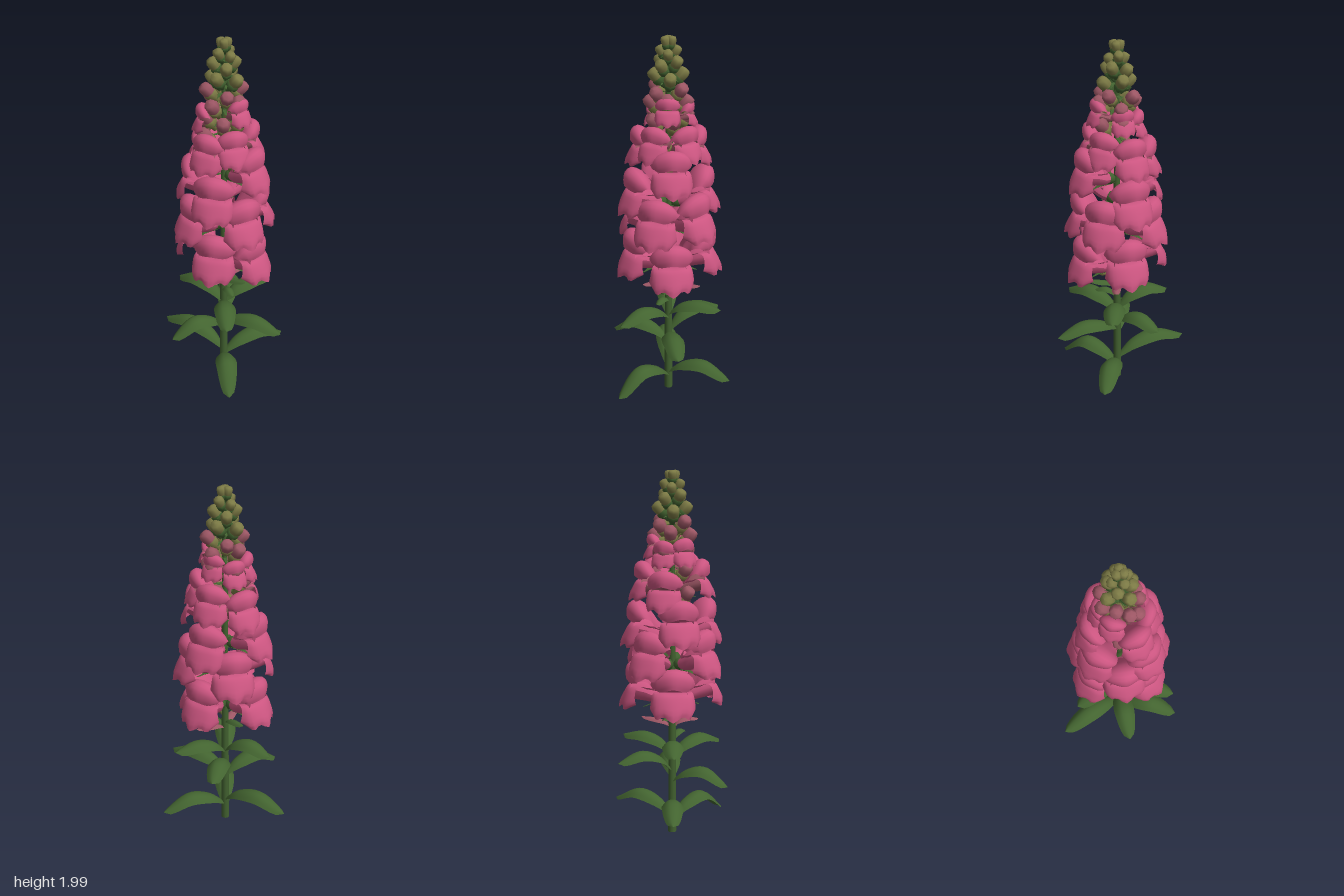
import * as THREE from 'three';
import { ParametricGeometry } from 'three/addons/geometries/ParametricGeometry.js';

const CX = 0.02, CZ = 0.005; // stem axis

const mat = (name, color, side = THREE.FrontSide) => {
  const m = new THREE.MeshStandardMaterial({ color, side });
  m.name = name;
  return m;
};
const add = (parent, name, geo, material) => {
  const m = new THREE.Mesh(geo, material);
  m.name = name;
  parent.add(m);
  return m;
};
const curve = (pts) => new THREE.CatmullRomCurve3(pts.map((p) => new THREE.Vector3(...p)));
const sheet = (fn, nu, nv) => {
  const g = new ParametricGeometry(fn, nu, nv);
  g.computeVertexNormals();
  return g;
};

// Arched blunt leaf with drooping edges, from the stem to a tip
function leafGeometry([tx, ty, tz, peak, base], halfWidth) {
  const dx = tx - CX, dz = tz - CZ, len = Math.hypot(dx, dz);
  const c = curve([[CX, base, CZ], [CX + dx * 0.25, base + (peak - base) * 0.72, CZ + dz * 0.25],
    [CX + dx * 0.58, peak, CZ + dz * 0.58], [tx, ty, tz]]);
  return sheet((u, v, out) => {
    const s = u * 2 - 1;
    const grow = 0.2 + 0.8 * Math.sin((Math.PI / 2) * Math.min(v / 0.6, 1));
    const taper = Math.sqrt(1 - Math.pow(Math.max(0, (v - 0.55) / 0.45), 2));
    const w = halfWidth * grow * Math.max(taper, 0.04);
    c.getPoint(v, out);
    out.x += (-dz / len) * s * w;
    out.z += (dx / len) * s * w;
    out.y += w * (0.2 * Math.abs(s) - 0.85 * s * s);
  }, 8, 16);
}

// Petal sheet swept along a side profile of [out, up, half width, side droop, side pull-back]
function petalGeometry(profile, lobes, rim) {
  const path = curve(profile.map((p) => [0, p[1], p[0]]));
  const form = curve(profile.map((p) => [p[2], p[3], p[4]]));
  const f = new THREE.Vector3();
  return sheet((u, v, out) => {
    const s = u * 2 - 1;
    path.getPoint(v, out);
    form.getPoint(v, f);
    out.x = Math.sin(s * 1.45) * f.x;
    out.y -= f.y * s * s;
    out.z -= f.z * s * s;
    const edge = v * v * v * Math.cos(s * Math.PI * lobes); // scalloped rim
    out.y += edge * rim;
    out.z += edge * 0.008;
  }, 14, 12);
}

export function createModel() {
  const group = new THREE.Group();
  group.name = 'flowerSpike';
  const stemGreen = mat('stem green', 0x41602f);
  const leafGreen = mat('leaf green', 0x436430, THREE.DoubleSide);
  const petalPink = mat('petal pink', 0xcb5580, THREE.DoubleSide);
  const dustyPink = mat('dusty pink', 0x9c5664, THREE.DoubleSide);
  const olive = mat('bud olive', 0x7c7a45);

  // Stem
  add(group, 'stem', new THREE.CylinderGeometry(0.013, 0.023, 1.93, 10).translate(CX, 0.965, CZ), stemGreen);

  // Leaves: tip x, y, z, peak height, base height
  [[-0.385, 0.19, -0.02, 0.255, 0.13], [0.38, 0.35, 0, 0.41, 0.33], [0.23, 0.06, 0.305, 0.19, 0.08],
    [0.235, 0.13, -0.305, 0.21, 0.1], [-0.14, 0.31, 0.295, 0.4, 0.3], [-0.09, 0.44, -0.295, 0.49, 0.36],
    [-0.28, 0.52, -0.01, 0.575, 0.46], [0.2, 0.48, 0.285, 0.54, 0.44], [0.17, 0.53, -0.26, 0.56, 0.46],
  ].forEach((l) => add(group, 'leaf', leafGeometry(l, 0.06), leafGreen));
  [[-0.13, 0.69, -0.05, 0.69, 0.64], [0.18, 0.65, 0.05, 0.64, 0.59], [0.12, 0.56, 0.08, 0.58, 0.53],
  ].forEach((l) => add(group, 'bract', leafGeometry(l, 0.026), leafGreen));
  [[0.1, 0.65, -0.16, 0.65, 0.61], [0.04, 0.65, 0.15, 0.66, 0.61],
  ].forEach((l) => add(group, 'tintedBract', leafGeometry(l, 0.026), dustyPink));

  // Shared flower geometry: outward is +z
  const hood = petalGeometry([[0.07, 0, 0.04, 0.03, 0], [0.11, 0.06, 0.07, 0.07, 0.01],
    [0.15, 0.11, 0.098, 0.085, 0.03], [0.2, 0.13, 0.116, 0.09, 0.05], [0.238, 0.105, 0.113, 0.07, 0.07],
    [0.246, 0.06, 0.104, 0.04, 0.07], [0.24, 0.025, 0.095, 0.01, 0.06]], 2, 0.008);
  const lip = petalGeometry([[0.07, -0.045, 0.045, -0.03, 0], [0.13, -0.025, 0.075, -0.02, 0],
    [0.18, 0.005, 0.095, 0, 0.02], [0.23, 0, 0.108, 0.01, 0.045], [0.257, -0.04, 0.116, 0.015, 0.065],
    [0.278, -0.085, 0.118, 0.005, 0.09], [0.28, -0.118, 0.105, -0.015, 0.09]], 3, -0.012);
  // Pouched throat that fills the back of the two lips
  const tubePath = curve([[0, -0.07, 0.035], [0, -0.058, 0.08], [0, -0.03, 0.14], [0, -0.012, 0.215]]);
  const tube = sheet((u, v, out) => {
    const a = u * Math.PI * 2, r = 0.024 + 0.056 * Math.sin(v * 1.6);
    tubePath.getPoint(v, out);
    out.x += Math.cos(a) * r;
    out.y += Math.sin(a) * r * 0.85;
  }, 12, 6);
  const calyx = new THREE.SphereGeometry(0.034, 8, 6).scale(1, 1, 1.3).rotateX(-0.3).translate(0, -0.07, 0.05);
  const bract = petalGeometry([[0.01, -0.1, 0.01, 0, 0], [0.06, -0.105, 0.022, -0.006, 0],
    [0.11, -0.11, 0.016, -0.004, 0], [0.15, -0.125, 0.003, 0, 0]], 1, 0);

  // Group on the stem, turned to an angle from +x towards +z
  const node = (name, deg, y, s) => {
    const g = new THREE.Group();
    g.name = name;
    g.position.set(CX, y, CZ);
    g.rotation.y = THREE.MathUtils.degToRad(90 - deg);
    g.scale.setScalar(s);
    group.add(g);
    return g;
  };

  // Open flowers in alternating whorls: angle, height, scale
  const flower = (name, [deg, y, s], tubeColour, calyxColour) => {
    const f = node(name, deg, y, s);
    add(f, 'upperLip', hood, petalPink);
    add(f, 'lowerLip', lip, petalPink);
    add(f, 'flowerTube', tube, tubeColour);
    add(f, 'calyx', calyx, calyxColour);
    add(f, 'flowerBract', bract, leafGreen);
  };
  [[2, 0.81, 1], [76, 0.855, 1.02], [183, 0.845, 1.02], [278, 0.85, 1.02],
    [28, 1.055, 1], [122, 1.04, 1], [225, 1.04, 1], [315, 1.07, 1],
    [78, 1.195, 0.98], [172, 1.215, 0.95], [270, 1.19, 0.98], [2, 1.325, 0.93],
  ].forEach((p) => flower('flower', p, petalPink, stemGreen));
  // Younger flowers above, with tinted throats
  [[200, 1.38, 0.83], [265, 1.42, 0.82], [95, 1.43, 0.8], [40, 1.46, 0.74], [325, 1.46, 0.74],
    [150, 1.575, 0.58], [210, 1.565, 0.56], [275, 1.6, 0.54], [10, 1.63, 0.56],
  ].forEach((p) => flower('youngFlower', p, dustyPink, olive));

  // Club-shaped closed buds on short stalks
  const lathe = (pts, n) => new THREE.LatheGeometry(pts.map((p) => new THREE.Vector2(...p)), n);
  const budGeo = lathe([[0, 0], [0.5, 0.05], [0.8, 0.6], [1, 1.4], [1, 2.1], [0.75, 2.6], [0, 2.75]], 7);
  const cupGeo = lathe([[0, -0.9], [0.35, -0.85], [0.5, -0.2], [0.95, 0.2], [1.03, 0.9], [0.7, 1]], 7);
  const makeBud = (deg, y, reach, size, tilt, petals, cupColour) => {
    const b = node('bud', deg, y, 1);
    const club = new THREE.Group();
    club.name = 'budClub';
    club.position.set(0, 0, reach);
    club.rotation.x = tilt;
    club.scale.setScalar(size);
    b.add(club);
    add(club, 'budPetals', budGeo, petals);
    add(club, 'budCalyx', cupGeo, cupColour);
    add(b, 'budBract', bract, leafGreen).scale.setScalar(size * 14);
  };
  // Whorls: height, count, first angle, reach, size, tilt, petal colour, calyx colour
  [[1.31, 3, 130, 0.06, 0.036, 0.7, dustyPink, olive], [1.42, 3, 20, 0.06, 0.036, 0.7, dustyPink, olive],
    [1.52, 5, 62, 0.06, 0.036, 0.6, dustyPink, olive], [1.61, 4, 100, 0.055, 0.036, 0.65, dustyPink, olive],
    [1.67, 4, 50, 0.05, 0.034, 0.75, dustyPink, olive], [1.74, 4, 0, 0.035, 0.033, 0.7, olive, stemGreen],
    [1.805, 4, 48, 0.025, 0.031, 0.6, olive, stemGreen], [1.865, 4, 10, 0.018, 0.026, 0.5, olive, stemGreen],
    [1.93, 3, 60, 0.01, 0.024, 0.22, olive, stemGreen],
  ].forEach(([y, n, first, reach, size, tilt, petals, cup]) => {
    for (let i = 0; i < n; i++) {
      makeBud(first + (i * 360) / n, y + (y < 1.9 ? (i % 2) * 0.018 : 0), reach, size, tilt, petals, cup);
    }
  });
  makeBud(48, 0.665, 0.07, 0.028, 1.1, dustyPink, olive);
  return group;
}
